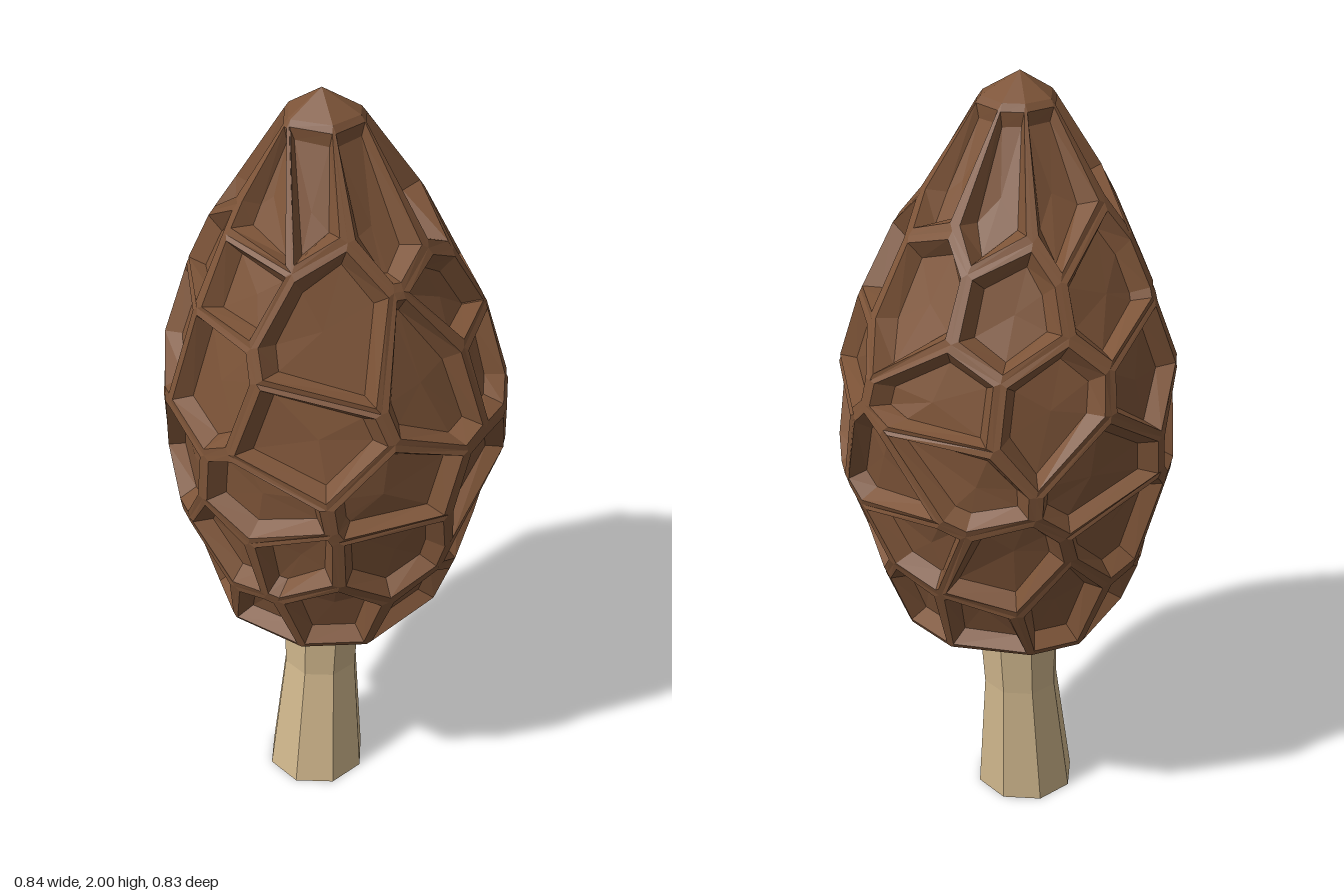
import * as THREE from 'three';

// Cap profile: height, radius, centre x, centre z
const PROFILE = [
  [0.582, 0.283, -0.02, 0.01], [0.85, 0.38, -0.012, 0.003], [1.08, 0.433, 0, 0], [1.2, 0.433, 0.002, -0.003],
  [1.36, 0.408, -0.008, -0.01], [1.6, 0.31, -0.025, 0.012], [1.8, 0.187, -0.03, 0.028], [1.945, 0.09, -0.037, 0.035],
];
const BOTTOM = PROFILE[0][0], TOP = PROFILE[PROFILE.length - 1][0];
const FLATTEN = 0.97;                     // cap is slightly shallower than wide
const UNROLL = 0.38;                      // unrolled width per radian
const PERIOD = Math.PI * 2 * UNROLL;

let seed = 11;
const rand = () => {
  seed = (seed * 16807) % 2147483647;
  return seed / 2147483647 - 0.5;
};

function section(y) {
  let i = 0;
  while (i < PROFILE.length - 2 && y > PROFILE[i + 1][0]) i++;
  const a = PROFILE[i], b = PROFILE[i + 1];
  const t = (y - a[0]) / (b[0] - a[0]);
  return a.map((v, k) => v + (b[k] - v) * t);
}

// Point on the cap from unrolled coordinates, sunk along the surface normal
function capPoint([u, v], depth = 0) {
  const [, r, cx, cz] = section(v);
  const lo = Math.max(BOTTOM, v - 0.1), hi = Math.min(TOP, v + 0.1);
  const slope = (section(hi)[1] - section(lo)[1]) / (hi - lo);
  const d = (depth * Math.min(1, r / 0.22)) / Math.hypot(1, slope);
  const angle = u / UNROLL, rr = r - d;
  return new THREE.Vector3(cx + rr * Math.sin(angle), v + slope * d, cz + rr * FLATTEN * Math.cos(angle));
}

// Keep the part of a polygon that is nearer to p than to q
function clipNearer(poly, p, q) {
  const nx = q[0] - p[0], ny = q[1] - p[1];
  const c = (nx * (p[0] + q[0]) + ny * (p[1] + q[1])) / 2;
  const side = (a) => a[0] * nx + a[1] * ny - c;
  const out = [];
  poly.forEach((a, i) => {
    const b = poly[(i + 1) % poly.length], sa = side(a), sb = side(b);
    if (sa <= 0) out.push(a);
    if ((sa < 0 && sb > 0) || (sa > 0 && sb < 0)) {
      const t = sa / (sa - sb);
      out.push([a[0] + (b[0] - a[0]) * t, a[1] + (b[1] - a[1]) * t]);
    }
  });
  return out;
}

// Irregular honeycomb wrapped around the cap
function honeycomb() {
  const rows = [[0.69, 9], [0.9, 9], [1.11, 9], [1.32, 9], [1.55, 8], [1.78, 8]];
  const sites = [];
  rows.forEach(([y, n], k) => {
    for (let i = 0; i < n; i++) {
      sites.push([((i + (k % 2) / 2 + rand() * 0.65) / n) * PERIOD, y + rand() * 0.16]);
    }
  });
  return sites.map((p) => {
    const w = PERIOD / 3;
    let poly = [[p[0] - w, BOTTOM], [p[0] + w, BOTTOM], [p[0] + w, TOP], [p[0] - w, TOP]];
    for (const q of sites) {
      for (const shift of [-PERIOD, 0, PERIOD]) {
        if (q !== p || shift) poly = clipNearer(poly, p, [q[0] + shift, q[1]]);
      }
    }
    return poly;
  });
}

// Triangle collector
function surface() {
  const pos = [];
  const tri = (...pts) => pts.forEach((p) => pos.push(p.x, p.y, p.z));
  const quad = (a, b, c, d) => { tri(a, b, c); tri(a, c, d); };
  const build = () => {
    const g = new THREE.BufferGeometry();
    g.setAttribute('position', new THREE.Float32BufferAttribute(pos, 3));
    g.computeVertexNormals();
    return g;
  };
  return { tri, quad, build };
}

// Stem sections: height, radius, centre x, centre z
const STEM = [[0, 0.132, -0.06, 0.03], [0.34, 0.1, -0.043, 0.01], [0.54, 0.108, -0.035, 0.008]];

function stemGeometry() {
  const s = surface(), n = 8;
  const at = ([y, r, cx, cz], i) => {
    const a = ((i + 0.2) / n) * Math.PI * 2;
    return new THREE.Vector3(cx + r * Math.sin(a), y, cz + r * Math.cos(a));
  };
  for (let i = 0; i < n; i++) {
    for (let k = 0; k < STEM.length - 1; k++) {
      s.quad(at(STEM[k], i), at(STEM[k], i + 1), at(STEM[k + 1], i + 1), at(STEM[k + 1], i));
    }
    s.tri(at(STEM[0], i + 1), at(STEM[0], i), new THREE.Vector3(STEM[0][2], 0, STEM[0][3]));
  }
  return s.build();
}

export function createModel() {
  const brown = new THREE.MeshStandardMaterial({ color: 0x7d5438 });
  brown.name = 'capBrown';
  const cream = new THREE.MeshStandardMaterial({ color: 0xcfb68c });
  cream.name = 'stemCream';

  const ridges = surface(), pits = surface(), tip = surface(), underside = surface();
  const apex = new THREE.Vector3(-0.04, 2, 0.035);

  // Lower rim of the underside, where it meets the stem
  const inner = ([u]) => {
    const a = u / UNROLL;
    return new THREE.Vector3(-0.035 + 0.108 * Math.sin(a), 0.523, 0.008 + 0.108 * Math.cos(a));
  };

  for (const poly of honeycomb()) {
    const n = poly.length;
    const centre = [0, 1].map((k) => poly.reduce((sum, p) => sum + p[k], 0) / n);
    const squash = section(centre[1])[1] / UNROLL;
    // Move a corner a set distance towards the middle of its cell
    const inset = (p, dist) => {
      const dx = centre[0] - p[0], dy = centre[1] - p[1];
      const t = Math.min(0.45, dist / Math.hypot(dx * squash, dy));
      return [p[0] + dx * t, p[1] + dy * t];
    };
    const rim = poly.map((p) => capPoint(p));
    const lip = poly.map((p) => capPoint(inset(p, 0.018)));
    const floor = poly.map((p) => capPoint(inset(p, 0.042), 0.046));
    const middle = capPoint(centre, 0.056);

    for (let i = 0; i < n; i++) {
      const j = (i + 1) % n;
      ridges.quad(rim[i], rim[j], lip[j], lip[i]);
      pits.quad(lip[i], lip[j], floor[j], floor[i]);
      pits.tri(floor[i], floor[j], middle);
      const onEdge = (y) => Math.abs(poly[i][1] - y) < 1e-6 && Math.abs(poly[j][1] - y) < 1e-6;
      if (onEdge(TOP)) tip.tri(rim[j], rim[i], apex);
      if (onEdge(BOTTOM)) underside.quad(rim[j], rim[i], inner(poly[i]), inner(poly[j]));
    }
  }

  const group = new THREE.Group();
  group.name = 'mushroom';
  const add = (name, geometry, material) => {
    const mesh = new THREE.Mesh(geometry, material);
    mesh.name = name;
    group.add(mesh);
  };
  add('capRidges', ridges.build(), brown);
  add('capPits', pits.build(), brown);
  add('capTip', tip.build(), brown);
  add('capUnderside', underside.build(), cream);
  add('stem', stemGeometry(), cream);
  return group;
}
